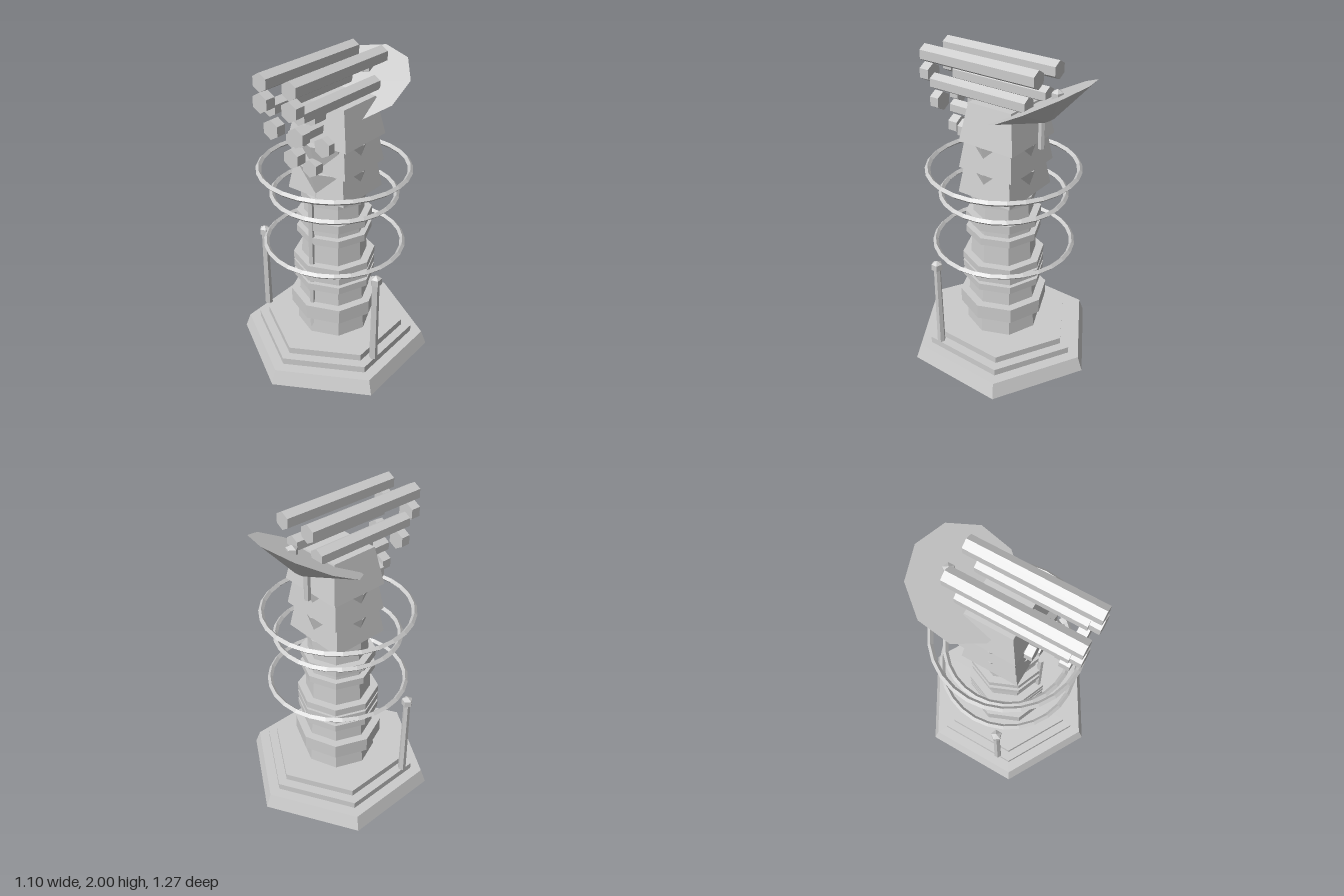
import * as THREE from 'three';

export function createModel() {
  const model = new THREE.Group();
  model.name = 'sensorTower';
  const grey = new THREE.MeshStandardMaterial({ color: 0xcccccc });
  grey.name = 'light grey';
  grey.flatShading = true;

  const add = (name, geometry, x = 0, y = 0, z = 0) => {
    const mesh = new THREE.Mesh(geometry, grey);
    mesh.name = name;
    mesh.position.set(x, y, z);
    model.add(mesh);
    return mesh;
  };
  // Upright prism or frustum between two heights
  const prism = (name, rBottom, rTop, y0, y1, sides, x = 0, z = 0) =>
    add(name, new THREE.CylinderGeometry(rTop, rBottom, y1 - y0, sides), x, (y0 + y1) / 2, z);
  // Hexagonal bar lying along z
  const bar = (name, r, x, y, z0, z1) =>
    add(name, new THREE.CylinderGeometry(r, r, z1 - z0, 6).rotateX(Math.PI / 2), x, y, (z0 + z1) / 2);
  // Tapered rectangular block
  const block = (name, y0, y1, bottom, top, z) => {
    const g = new THREE.CylinderGeometry(top * Math.SQRT2, bottom * Math.SQRT2, y1 - y0, 4);
    g.rotateY(Math.PI / 4).scale(1, 1, 0.89);
    return add(name, g, 0, (y0 + y1) / 2, z);
  };

  // Stepped hexagonal base
  prism('baseSlab', 0.635, 0.6, 0, 0.095, 6);
  prism('baseStep', 0.525, 0.525, 0.095, 0.14, 6);
  prism('baseTop', 0.46, 0.46, 0.14, 0.185, 6);

  // Octagonal column and its collars: radius, bottom, top
  prism('column', 0.245, 0.18, 0.185, 1.2, 8);
  const collars = [
    [0.285, 0.32, 0.42],
    [0.263, 0.536, 0.583], [0.263, 0.605, 0.652], [0.263, 0.668, 0.716],
    [0.238, 0.865, 0.912], [0.238, 0.965, 1.02],
    [0.207, 1.115, 1.165],
  ];
  for (const [r, y0, y1] of collars) prism('collar', r, r, y0, y1, 8);
  prism('frontPipe', 0.018, 0.018, 0.19, 1.165, 6, 0, 0.225);

  // Floating rings with a diamond section
  for (const [r, y] of [[0.435, 0.797], [0.385, 1.14], [0.46, 1.31]]) {
    add('ring', new THREE.TorusGeometry(r, 0.017, 4, 28).rotateX(Math.PI / 2), 0, y, 0);
  }

  // Side posts with faceted caps
  for (const side of [-1, 1]) {
    prism('sidePost', 0.026, 0.022, 0.165, 0.74, 6, side * 0.455, 0.172);
    add('sidePostCap', new THREE.SphereGeometry(0.04, 5, 3), side * 0.455, 0.755, 0.172);
  }

  // Three tapered head tiers with flared cores between them
  block('lowerHead', 1.17, 1.34, 0.215, 0.187, -0.01);
  block('middleHead', 1.34, 1.51, 0.215, 0.187, -0.02);
  block('upperHead', 1.51, 1.745, 0.215, 0.168, -0.025);
  prism('lowerFlare', 0.18, 0.22, 1.2, 1.34, 8);
  prism('upperFlare', 0.18, 0.22, 1.37, 1.51, 8);

  // Long bars on top of the head
  for (const side of [-1, 1]) {
    bar('topBar', 0.054, side * 0.103, 1.946, -0.305, 0.495);
    bar('lowerBar', 0.05, side * 0.103, 1.787, -0.245, 0.43);
    bar('upperLens', 0.058, side * 0.103, 1.834, 0.435, 0.5);
    bar('middleLens', 0.058, side * 0.09, 1.667, 0.38, 0.442);
    bar('innerLens', 0.06, side * 0.095, 1.535, 0.18, 0.23);
  }
  // Centre bar and centre lenses
  bar('centreBar', 0.046, 0, 1.61, 0.1, 0.375);
  bar('frontLens', 0.058, 0, 1.497, 0.32, 0.385);
  bar('upperInnerLens', 0.056, 0, 1.695, 0.12, 0.23);
  bar('lowerInnerLens', 0.056, 0, 1.377, 0.12, 0.23);

  // Tilted dish on a short post, with a feed
  const dish = add('dish', new THREE.CylinderGeometry(0.335, 0.035, 0.11, 10).translate(0, -0.055, 0),
    -0.023, 1.77, -0.245);
  dish.rotation.x = 0.49;
  prism('dishPost', 0.021, 0.021, 1.49, 1.7, 6, -0.023, -0.25);
  add('dishFeed', new THREE.SphereGeometry(0.04, 5, 3), -0.023, 1.83, -0.345);

  return model;
}
